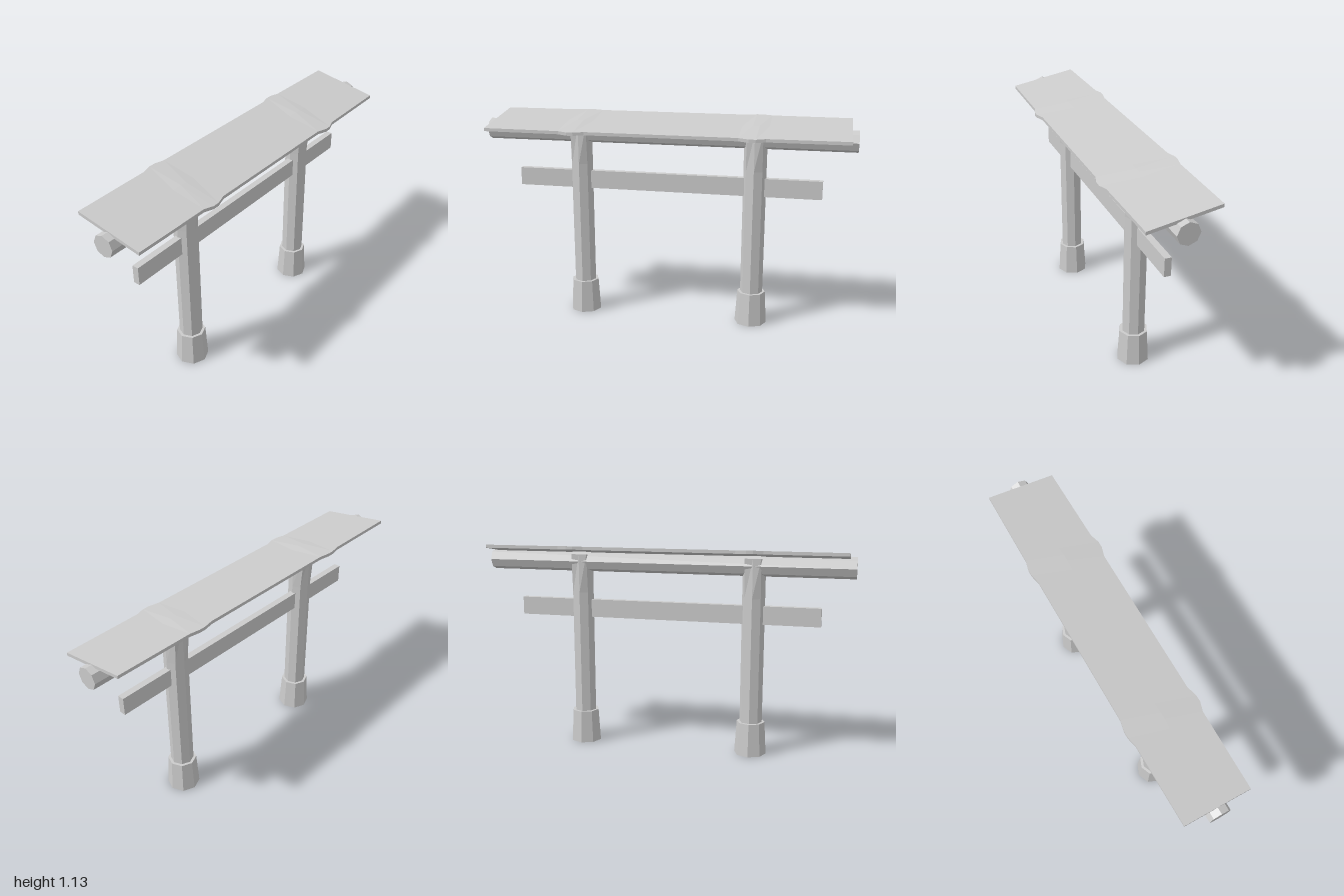
import * as THREE from 'three';

const material = new THREE.MeshStandardMaterial({ color: 0xcccccc, flatShading: true });

function add(parent, name, geometry, x = 0, y = 0, z = 0) {
  const mesh = new THREE.Mesh(geometry, material);
  mesh.name = name;
  mesh.position.set(x, y, z);
  parent.add(mesh);
  return mesh;
}

// Octagonal post whose diagonal corners spread front and back under the ridge beam
function postGeometry() {
  const bottom = 0.15, bend = 0.86, top = 1.07;
  const geometry = new THREE.CylinderGeometry(0.061, 0.061, top - bottom, 8, 2);
  geometry.translate(0, (top + bottom) / 2, 0);
  const p = geometry.attributes.position;
  for (let i = 0; i < p.count; i++) {
    const y = p.getY(i), z = p.getZ(i);
    if (y > top - 0.01) {
      if (Math.abs(z) > 0.02 && Math.abs(z) < 0.05) p.setZ(i, Math.sign(z) * 0.058);
    } else if (y > bottom + 0.01) p.setY(i, bend);
  }
  return geometry;
}

// Thin tilted slab, with small swellings where it passes over the posts
function roofGeometry() {
  const half = [0.405, 0.46, 0.495, 0.545, 0.965];
  const stations = [...half.map((x) => -x).reverse(), ...half];
  const thickness = 0.017;
  const geometry = new THREE.BoxGeometry(9, thickness, 2, 9, 1, 2);
  const p = geometry.attributes.position;
  for (let i = 0; i < p.count; i++) {
    const x = stations[Math.round(p.getX(i) + 4.5)];
    const side = Math.round(p.getZ(i));
    const swell = Math.abs(x) > 0.45 && Math.abs(x) < 0.5;
    const end = Math.abs(x) > 0.9;
    const reach = swell ? 0.199 : end ? 0.181 : 0.185;
    const z = side * reach - (swell ? 0 : 0.002);
    const lift = swell && side === 0 ? 0.004 : 0;
    p.setXYZ(i, x, 1.083 - 0.17 * z + lift + p.getY(i), z);
  }
  return geometry;
}

export function createModel() {
  const model = new THREE.Group();
  model.name = 'gate';

  // Posts on tapered footings
  for (const side of [-1, 1]) {
    const leg = new THREE.Group();
    leg.name = side > 0 ? 'leftLeg' : 'rightLeg';
    leg.position.x = side * 0.477;
    add(leg, 'footing', new THREE.CylinderGeometry(0.076, 0.087, 0.18, 8), 0, 0.09, 0);
    add(leg, 'post', postGeometry());
    model.add(leg);
  }

  // Tie beam through the posts
  add(model, 'tieBeam', new THREE.BoxGeometry(1.665, 0.098, 0.035), 0, 0.769, 0);

  // Octagonal ridge beam
  const ridge = new THREE.CylinderGeometry(0.057, 0.057, 2, 8).rotateZ(Math.PI / 2);
  add(model, 'ridgeBeam', ridge, 0, 1.031, -0.004);

  // Tilted roof slab
  add(model, 'roof', roofGeometry());

  return model;
}
